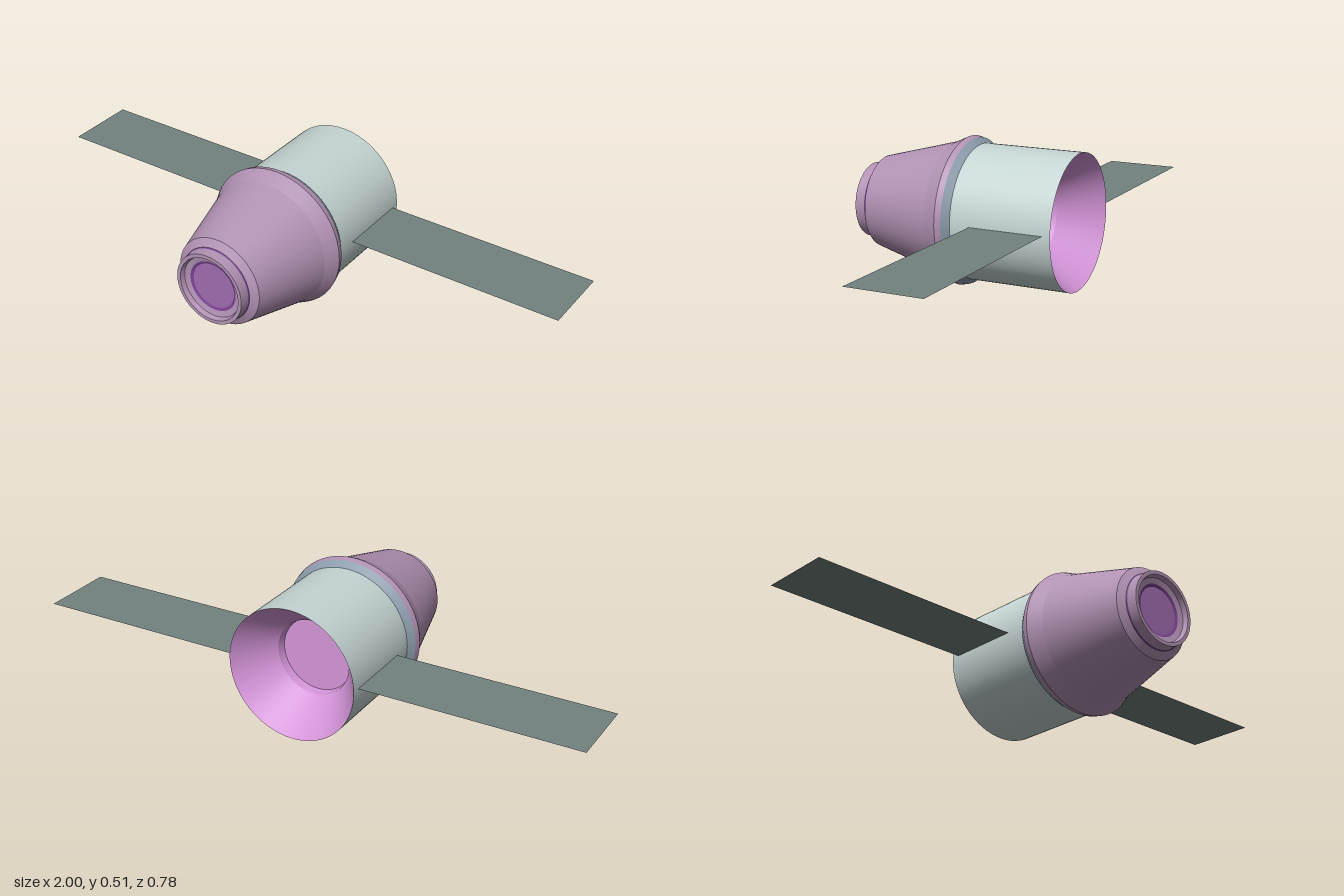
import * as THREE from 'three';
import { mergeGeometries } from 'three/addons/utils/BufferGeometryUtils.js';

const mat = (name, color, side = THREE.FrontSide) => {
  const m = new THREE.MeshStandardMaterial({ color, side });
  m.name = name;
  return m;
};

// Turned part along z from [radius, z] points, with a crisp edge at every point
function turned(name, points, material) {
  const bands = [];
  for (let i = 0; i < points.length - 1; i++) {
    const pair = [points[i], points[i + 1]].map(([r, z]) => new THREE.Vector2(r, z));
    bands.push(new THREE.LatheGeometry(pair, 64));
  }
  const geometry = mergeGeometries(bands);
  geometry.rotateX(Math.PI / 2);
  const mesh = new THREE.Mesh(geometry, material);
  mesh.name = name;
  return mesh;
}

export function createModel() {
  const mauve = mat('mauve hull', 0xb292b4);
  const paleGrey = mat('pale grey trunk', 0xc4d4d2);
  const blueGrey = mat('blue grey collar', 0x8c9cab);
  const pink = mat('pink interior', 0xd494d8, THREE.DoubleSide);
  const violet = mat('violet hatch', 0xa06cb0);
  const darkViolet = mat('dark violet seal', 0x7a4290);
  const panelGrey = mat('panel grey', 0x72827f, THREE.DoubleSide);

  const model = new THREE.Group();
  model.name = 'spacecraft';
  const body = new THREE.Group();
  body.name = 'body';
  body.position.y = 0.257;
  model.add(body);

  // Service trunk and its flared collar
  body.add(turned('trunk', [[0.234, -0.392], [0.234, -0.032]], paleGrey));
  body.add(turned('collar', [[0.234, -0.032], [0.252, -0.007]], blueGrey));

  // Crew capsule
  body.add(turned('capsule', [
    [0.252, -0.007], [0.257, 0.014], [0.233, 0.066], [0.161, 0.336], [0.134, 0.352],
  ], mauve));

  // Docking nose with a recessed hatch
  body.add(turned('noseSeal', [[0.134, 0.352], [0.132, 0.357]], darkViolet));
  body.add(turned('dockingNose', [
    [0.132, 0.357], [0.13, 0.392], [0.117, 0.392], [0.112, 0.375], [0.092, 0.37],
  ], mauve));
  body.add(turned('hatchSeal', [[0.092, 0.37], [0.082, 0.366]], darkViolet));
  body.add(turned('hatch', [[0.082, 0.366], [0, 0.366]], violet));

  // Hollow rear end: stepped funnel
  body.add(turned('rearInterior', [
    [0, -0.22], [0.13, -0.22], [0.135, -0.25], [0.234, -0.392],
  ], pink));

  // Solar panels
  for (const side of [-1, 1]) {
    const geometry = new THREE.PlaneGeometry(0.766, 0.261).rotateX(-Math.PI / 2);
    const panel = new THREE.Mesh(geometry, panelGrey);
    panel.name = side > 0 ? 'leftSolarPanel' : 'rightSolarPanel';
    panel.position.set(side * 0.617, 0.003, -0.233);
    body.add(panel);
  }
  return model;
}
